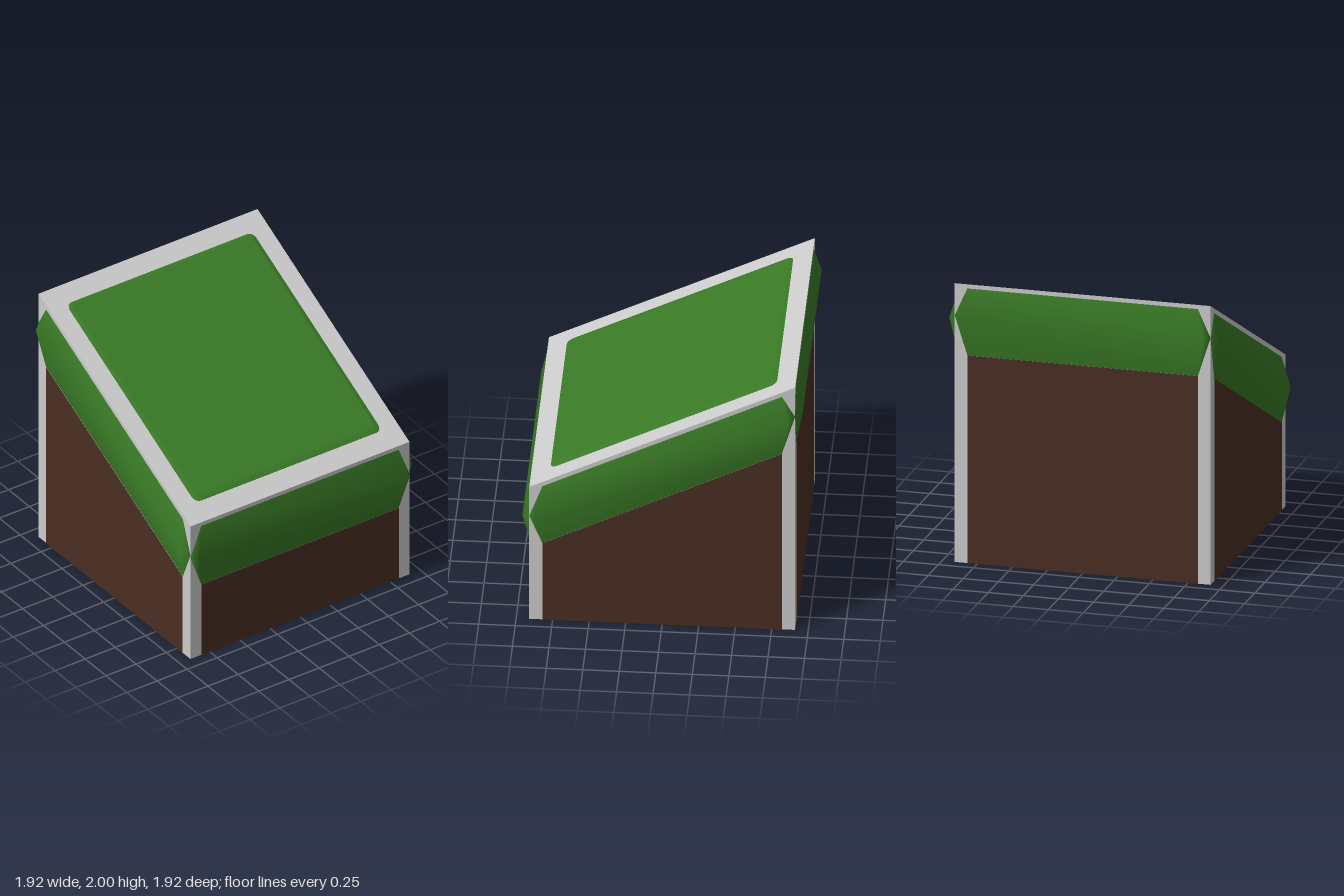
import * as THREE from 'three';

const HALF = 0.91;   // half width of the block
const INSET = 0.82;  // half width of the side panels
const SLOPE = 0.5;   // rise of the roof from front to back

const grey = new THREE.MeshStandardMaterial({ color: 0xcccccc });
const green = new THREE.MeshStandardMaterial({ color: 0x397a26 });
const brown = new THREE.MeshStandardMaterial({ color: 0x4a2e24 });

function addMesh(parent, name, geometry, material) {
  const mesh = new THREE.Mesh(geometry, material);
  mesh.name = name;
  parent.add(mesh);
  return mesh;
}

// Bulging band with pointed ends, on a wall facing +z
function bandGeometry({ top, mid, bottom, slope }) {
  const at = (x, y, z) => [x, y + slope * x, z];
  const points = [
    at(-INSET, top, HALF), at(INSET, top, HALF),
    at(-HALF, mid, HALF), at(-0.87, mid, 0.96),
    at(0.87, mid, 0.96), at(HALF, mid, HALF),
    at(-INSET, bottom, HALF), at(INSET, bottom, HALF),
  ];
  const geometry = new THREE.BufferGeometry();
  geometry.setAttribute('position', new THREE.Float32BufferAttribute(points.flat(), 3));
  geometry.setIndex([
    0, 3, 4, 0, 4, 1, // upper slope
    3, 6, 7, 3, 7, 4, // lower slope
    0, 2, 3, 2, 6, 3, // left tip
    1, 4, 5, 4, 7, 5, // right tip
  ]);
  geometry.computeVertexNormals();
  return geometry;
}

// Flat panel between the ground and the band
function panelGeometry({ bottom, slope }) {
  const shape = new THREE.Shape([
    new THREE.Vector2(-INSET, 0),
    new THREE.Vector2(INSET, 0),
    new THREE.Vector2(INSET, bottom + slope * INSET),
    new THREE.Vector2(-INSET, bottom - slope * INSET),
  ]);
  return new THREE.ShapeGeometry(shape).translate(0, 0, HALF + 0.002);
}

// Thin bevelled pad with small rounded corners, sheared to lie on the roof
function roofPadGeometry() {
  const s = 0.745, r = 0.02;
  const shape = new THREE.Shape();
  shape.moveTo(-s + r, -s);
  shape.lineTo(s - r, -s);
  shape.quadraticCurveTo(s, -s, s, -s + r);
  shape.lineTo(s, s - r);
  shape.quadraticCurveTo(s, s, s - r, s);
  shape.lineTo(-s + r, s);
  shape.quadraticCurveTo(-s, s, -s, s - r);
  shape.lineTo(-s, -s + r);
  shape.quadraticCurveTo(-s, -s, -s + r, -s);
  const geometry = new THREE.ExtrudeGeometry(shape, {
    depth: 0.002, bevelThickness: 0.01, bevelSize: 0.03, bevelSegments: 1, curveSegments: 4,
  });
  geometry.rotateX(-Math.PI / 2);
  const p = geometry.attributes.position;
  for (let i = 0; i < p.count; i++) p.setY(i, p.getY(i) + 1.547 - SLOPE * p.getZ(i));
  geometry.computeVertexNormals();
  return geometry;
}

export function createModel() {
  const model = new THREE.Group();
  model.name = 'slopedBlock';

  // Block: a box whose top corners follow the slope
  const block = new THREE.BoxGeometry(2 * HALF, 2, 2 * HALF).translate(0, 1, 0);
  const p = block.attributes.position;
  for (let i = 0; i < p.count; i++) {
    if (p.getY(i) > 1) p.setY(i, 1.545 - SLOPE * p.getZ(i));
  }
  block.computeVertexNormals();
  addMesh(model, 'block', block, grey);

  addMesh(model, 'roofPad', roofPadGeometry(), green);

  // Each wall carries a brown panel below a green band
  const walls = [
    { name: 'front', turn: 0, top: 1.06, mid: 0.83, bottom: 0.58, slope: 0 },
    { name: 'left', turn: 1, top: 1.51, mid: 1.305, bottom: 1.04, slope: SLOPE },
    { name: 'back', turn: 2, top: 1.97, mid: 1.77, bottom: 1.49, slope: 0 },
    { name: 'right', turn: 3, top: 1.51, mid: 1.305, bottom: 1.04, slope: -SLOPE },
  ];
  for (const wall of walls) {
    const group = new THREE.Group();
    group.name = wall.name + 'Wall';
    group.rotation.y = wall.turn * Math.PI / 2;
    addMesh(group, wall.name + 'Panel', panelGeometry(wall), brown);
    addMesh(group, wall.name + 'Band', bandGeometry(wall), green);
    model.add(group);
  }
  return model;
}
